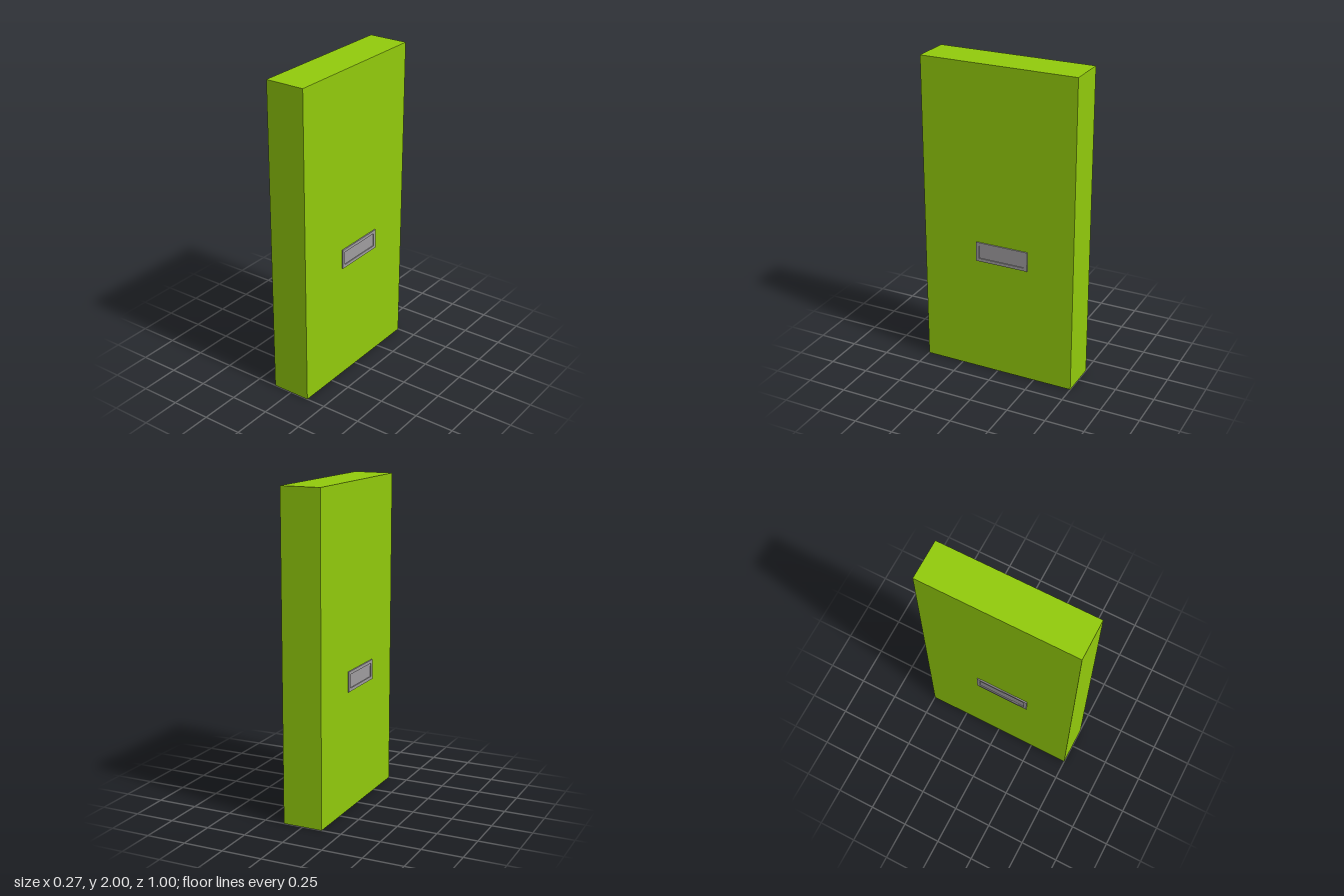
import * as THREE from 'three';

const green = new THREE.MeshStandardMaterial({ name: 'lime green', color: 0x92ca0c });
const grey = new THREE.MeshStandardMaterial({ name: 'metal grey', color: 0x9f9c9f });

function rect(target, w, h) {
  target.moveTo(-w / 2, -h / 2);
  target.lineTo(w / 2, -h / 2);
  target.lineTo(w / 2, h / 2);
  target.lineTo(-w / 2, h / 2);
  target.closePath();
  return target;
}

// Recessed pull: a thin rim around a sunken plate, facing +z
function createHandle(name) {
  const handle = new THREE.Group();
  handle.name = name;
  const outline = rect(new THREE.Shape(), 0.343, 0.125);
  outline.holes.push(rect(new THREE.Path(), 0.303, 0.085));
  const rim = new THREE.Mesh(
    new THREE.ExtrudeGeometry(outline, { depth: 0.008, bevelEnabled: false }), grey);
  rim.name = 'handleRim';
  const plate = new THREE.Mesh(new THREE.BoxGeometry(0.303, 0.085, 0.002), grey);
  plate.name = 'handlePlate';
  plate.position.z = 0.001;
  handle.add(rim, plate);
  return handle;
}

export function createModel() {
  const model = new THREE.Group();
  model.name = 'slabPanel';

  // Main slab
  const slab = new THREE.Mesh(new THREE.BoxGeometry(0.25, 2, 1), green);
  slab.name = 'slab';
  slab.position.y = 1;
  model.add(slab);

  // One pull on each broad face, turned half way round from each other
  for (const side of [1, -1]) {
    const handle = createHandle(side > 0 ? 'leftHandle' : 'rightHandle');
    handle.position.set(side * 0.125, 0.8125, -side * 0.029);
    handle.rotation.y = side * Math.PI / 2;
    model.add(handle);
  }
  return model;
}
